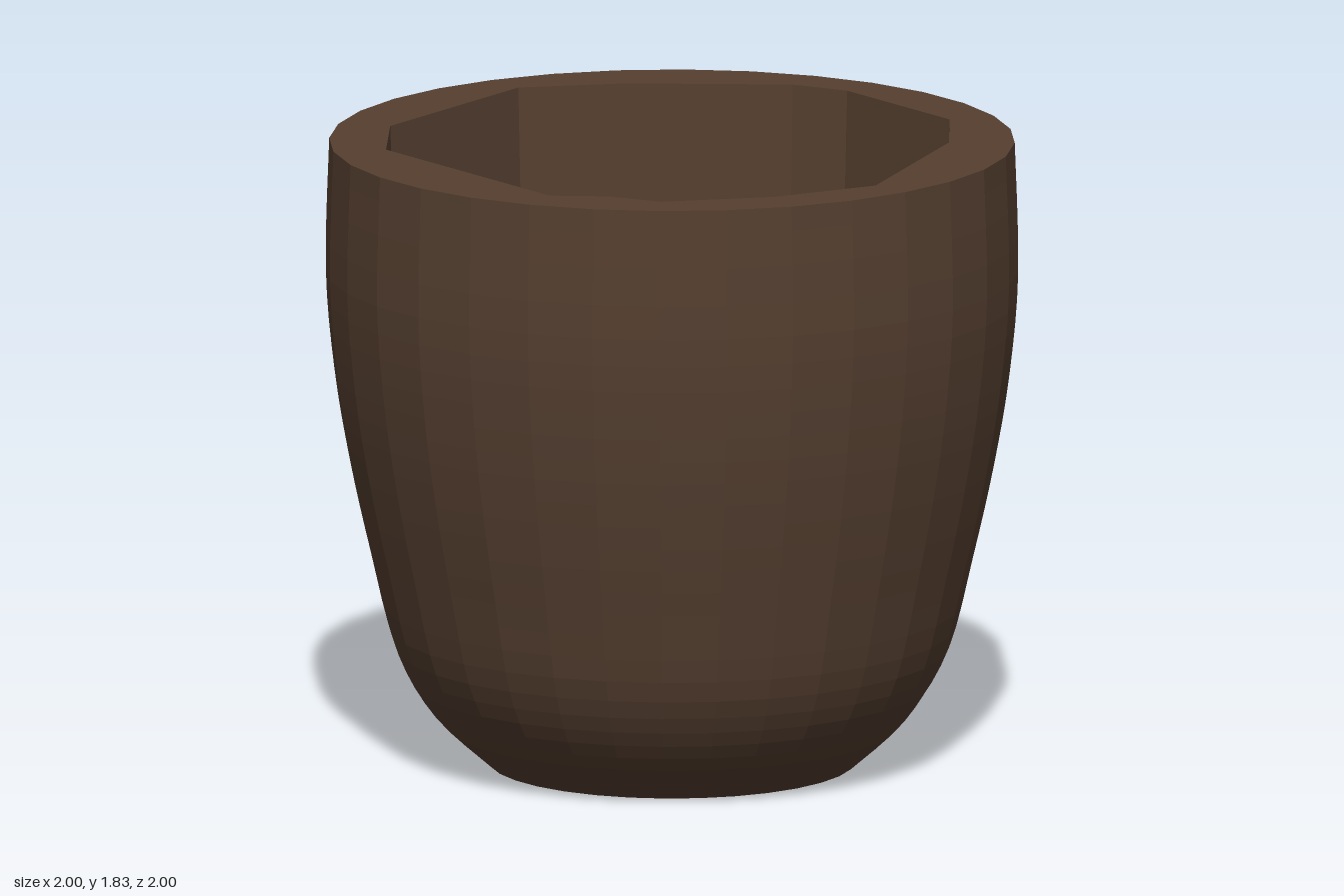
import * as THREE from 'three';

const SIDES = 32, TOP = 1.83, FLOOR = 0.15, HOLE = 0.1;

// Flat facets without shared normals
function faceted(geometry) {
  const g = geometry.index ? geometry.toNonIndexed() : geometry;
  g.computeVertexNormals();
  return g;
}

// Points of a regular outline, in the plane used for flat shapes
function ring(radius) {
  return Array.from({ length: SIDES }, (_, i) => {
    const a = (i / SIDES) * Math.PI * 2;
    return new THREE.Vector2(radius * Math.sin(a), -radius * Math.cos(a));
  });
}

// Horizontal plate with a hole, facing up
function plate(outer, inner, y) {
  const shape = new THREE.Shape(outer);
  shape.holes.push(new THREE.Path(inner));
  return new THREE.ShapeGeometry(shape).rotateX(-Math.PI / 2).translate(0, y, 0);
}

export function createModel() {
  const group = new THREE.Group();
  const clay = new THREE.MeshStandardMaterial({ color: 0x553f30 });
  clay.name = 'brown clay';
  const add = (name, geometry) => {
    const mesh = new THREE.Mesh(geometry, clay);
    mesh.name = name;
    group.add(mesh);
  };

  // Rounded outer wall
  const curve = new THREE.SplineCurve([
    [0.53, 0], [0.69, 0.15], [0.80, 0.34], [0.87, 0.61], [0.93, 0.88],
    [0.975, 1.15], [1.0, 1.45], [0.99, TOP],
  ].map(([r, y]) => new THREE.Vector2(r, y)));
  add('outerWall', faceted(new THREE.LatheGeometry(curve.getPoints(28), SIDES)));

  // Flat underside and the drain hole through it
  add('underside', faceted(new THREE.LatheGeometry(
    [new THREE.Vector2(HOLE, 0), new THREE.Vector2(0.53, 0)], SIDES)));
  add('drainHole', faceted(new THREE.LatheGeometry(
    [new THREE.Vector2(HOLE, FLOOR), new THREE.Vector2(HOLE, 0)], SIDES)));

  // Uneven carved cavity: one outline (x, z) scaled at three heights
  const outline = [
    [-0.47, -0.72], [-0.16, -0.79], [0.32, -0.79], [0.48, -0.71], [0.79, -0.32],
    [0.8, 0], [0.61, 0.61], [0.32, 0.78], [0, 0.86], [-0.155, 0.79],
    [-0.325, 0.785], [-0.82, 0.16], [-0.82, -0.17],
  ];
  const levels = [[1, TOP], [0.95, 0.7], [0.575, FLOOR]];
  const positions = [];
  const corner = (level, i) => {
    const [s, y] = levels[level], [x, z] = outline[i % outline.length];
    return [x * s, y, z * s];
  };
  for (let l = 0; l < levels.length - 1; l++) {
    for (let i = 0; i < outline.length; i++) {
      const a = corner(l + 1, i), b = corner(l + 1, i + 1);
      const c = corner(l, i + 1), d = corner(l, i);
      positions.push(...a, ...b, ...c, ...a, ...c, ...d);
    }
  }
  const cavity = new THREE.BufferGeometry();
  cavity.setAttribute('position', new THREE.Float32BufferAttribute(positions, 3));
  add('cavityWall', faceted(cavity));

  // Rim and cavity floor
  const section = (s) => outline.map(([x, z]) => new THREE.Vector2(x * s, -z * s));
  add('rim', plate(ring(0.99), section(1), TOP));
  add('cavityFloor', plate(section(0.575), ring(HOLE), FLOOR));

  return group;
}
